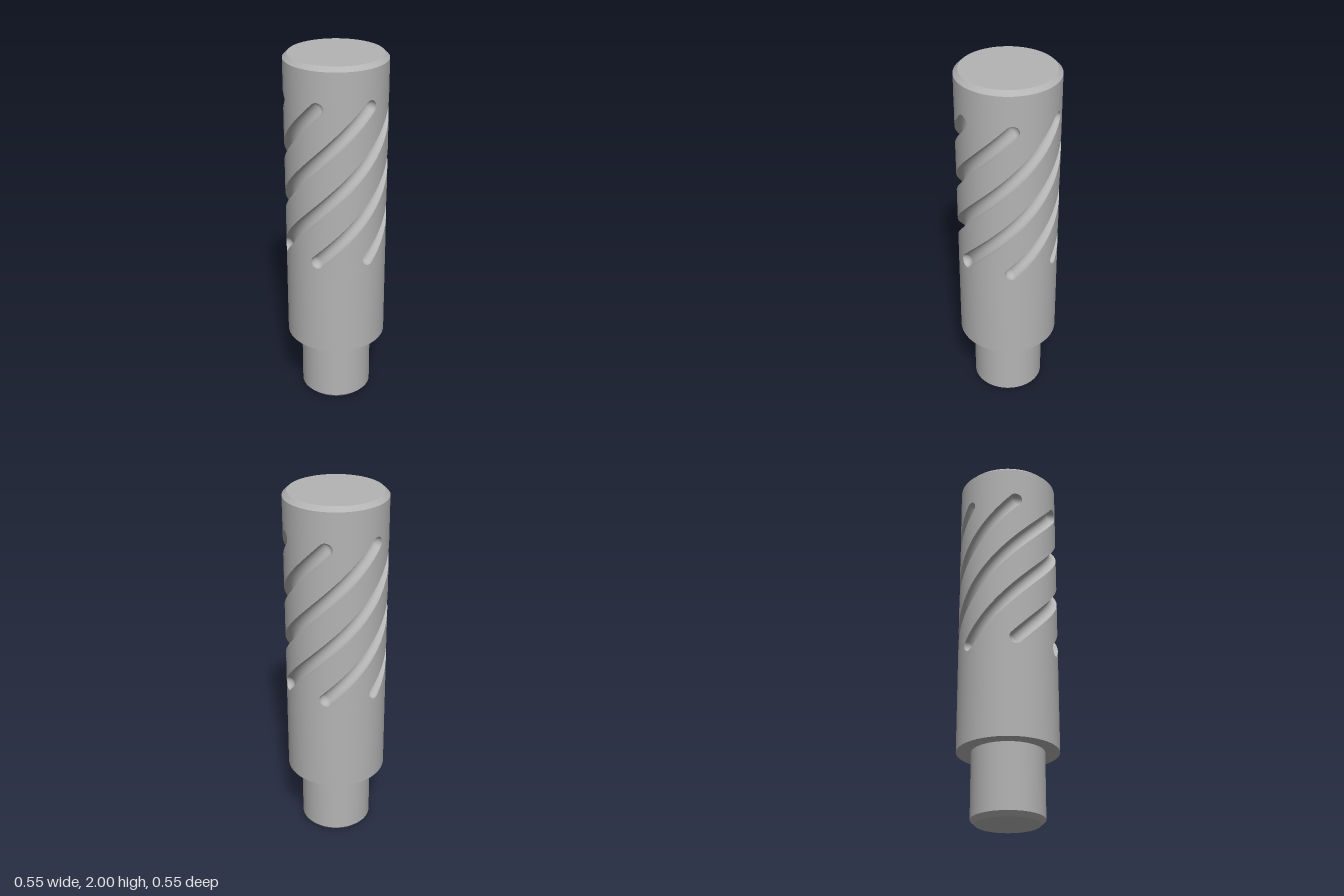
import * as THREE from 'three';

const R = 0.273;            // body radius
const GROOVE_R = 0.037;     // ball-nosed groove radius
const Y0 = 0.93, Y1 = 1.78; // groove end centres
const L = Y1 - Y0, MID = (Y0 + Y1) / 2;
const TURN = R * Math.PI;   // unrolled sideways travel of a groove (half a turn)
const HALF = R * Math.PI / 6; // half width of one of six sectors
const EXTRA = 1 / 12;       // sector overrun past the groove ends

const steel = new THREE.MeshStandardMaterial({ color: 0xb4b4b4 });
steel.name = 'steel';

// Capsule outline of a groove on the unrolled cylinder, with its sector border
function sectorLoop() {
  const len = Math.hypot(TURN, L);
  const d = [TURN / len, L / len], n = [d[1], -d[0]];
  const half = [];
  for (let i = 0; i <= 36; i++) {
    const t = i / 36 - 0.5;
    half.push({ c: [TURN * t, L * t], dir: n, out: [TURN * t + HALF, L * t] });
  }
  for (let j = 1; j < 16; j++) {
    const a = Math.PI * j / 16, ca = Math.cos(a), sa = Math.sin(a);
    const t = 0.5 + EXTRA * Math.min(1, j / 2, (16 - j) / 2);
    const side = THREE.MathUtils.clamp(1 - (j - 2) / 6, -1, 1);
    half.push({
      c: [TURN / 2, L / 2],
      dir: [n[0] * ca + d[0] * sa, n[1] * ca + d[1] * sa],
      out: [TURN * t + HALF * side, L * t],
    });
  }
  const neg = (p) => [-p[0], -p[1]];
  return half.concat(half.map((p) => ({ c: neg(p.c), dir: neg(p.dir), out: neg(p.out) })));
}

// Loft closed rings outwards; sample(point, k) gives s, y, depth and local normal
function loftRings(loop, steps, sample) {
  const pos = [], nor = [], idx = [], count = loop.length;
  for (let k = 0; k <= steps; k++) {
    for (const p of loop) {
      const { s, y, depth, normal } = sample(p, k / steps);
      const sin = Math.sin(s / R), cos = Math.cos(s / R), r = R - depth;
      pos.push(r * sin, MID + y, r * cos);
      const [ns, ny, nr] = normal;
      nor.push(nr * sin + ns * cos, ny, nr * cos - ns * sin);
    }
  }
  for (let k = 0; k < steps; k++) {
    for (let i = 0; i < count; i++) {
      const j = (i + 1) % count;
      const a = k * count + i, b = a + count, d = k * count + j, c = d + count;
      idx.push(a, b, c, a, c, d);
    }
  }
  const g = new THREE.BufferGeometry();
  g.setAttribute('position', new THREE.Float32BufferAttribute(pos, 3));
  g.setAttribute('normal', new THREE.Float32BufferAttribute(nor, 3));
  g.setIndex(idx);
  return g;
}

export function createModel() {
  const model = new THREE.Group();
  model.name = 'groovedPin';
  const add = (name, geometry, parent = model) => {
    const mesh = new THREE.Mesh(geometry, steel);
    mesh.name = name;
    parent.add(mesh);
    return mesh;
  };

  // Turned surfaces, one lathe per straight run so edges stay sharp
  const low = Y0 - L * EXTRA, high = Y1 + L * EXTRA;
  const runs = [
    ['shankEnd', 0, 0, 0.17, 0],
    ['shankChamfer', 0.17, 0, 0.195, 0.025],
    ['shank', 0.195, 0.025, 0.195, 0.38],
    ['shoulder', 0.195, 0.38, R, 0.38],
    ['lowerBody', R, 0.38, R, low],
    ['upperBody', R, high, R, 1.977],
    ['topChamfer', R, 1.977, 0.249, 2],
    ['topFace', 0.249, 2, 0, 2],
  ];
  for (const [name, r0, y0, r1, y1] of runs) {
    add(name, new THREE.LatheGeometry([new THREE.Vector2(r0, y0), new THREE.Vector2(r1, y1)], 72));
  }

  // Fluted section: six sectors, each a groove and the land around it
  const loop = sectorLoop();
  const groove = loftRings(loop, 8, (p, k) => {
    const a = (1 - k) * Math.PI / 2, ca = Math.cos(a), sa = Math.sin(a);
    return {
      s: p.c[0] + p.dir[0] * GROOVE_R * ca,
      y: p.c[1] + p.dir[1] * GROOVE_R * ca,
      depth: GROOVE_R * sa,
      normal: [-p.dir[0] * ca, -p.dir[1] * ca, sa],
    };
  });
  const land = loftRings(loop, 5, (p, k) => {
    const mix = (i) => THREE.MathUtils.lerp(p.c[i] + p.dir[i] * GROOVE_R, p.out[i], k);
    return { s: mix(0), y: mix(1), depth: 0, normal: [0, 0, 1] };
  });
  for (let i = 0; i < 6; i++) {
    const sector = new THREE.Group();
    sector.name = 'flutedSector';
    sector.rotation.y = i * Math.PI / 3;
    add('spiralGroove', groove, sector);
    add('land', land, sector);
    model.add(sector);
  }
  return model;
}
